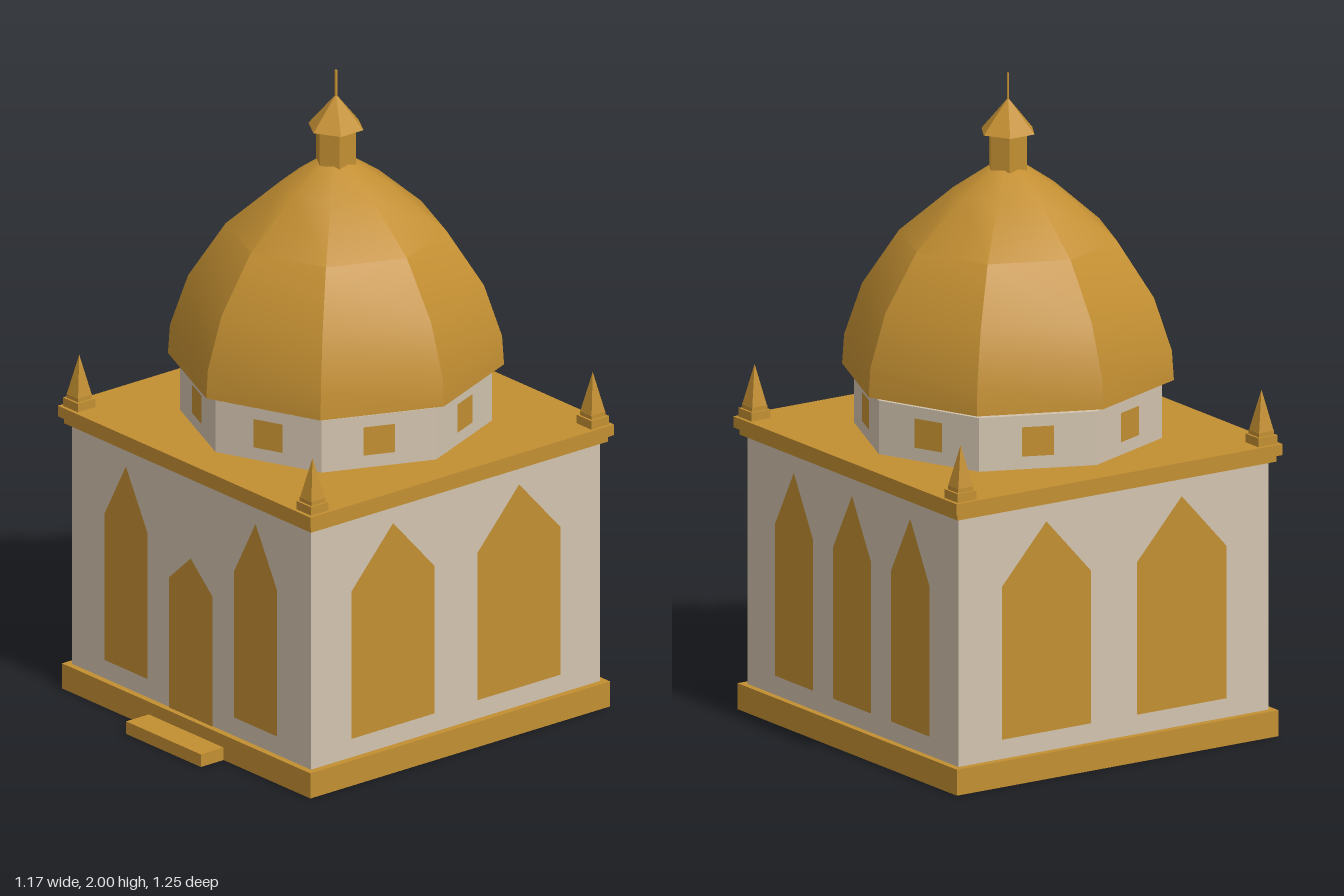
import * as THREE from 'three';
import { toCreasedNormals } from 'three/addons/utils/BufferGeometryUtils.js';

export function createModel() {
  const gold = new THREE.MeshStandardMaterial({ color: 0xc38f32 });
  gold.name = 'gold';
  const stone = new THREE.MeshStandardMaterial({ color: 0xd2c3ae });
  stone.name = 'pale stone';

  const model = new THREE.Group();
  model.name = 'domedPavilion';
  // Everything but the step is arranged around the axis of the dome
  const building = new THREE.Group();
  building.name = 'building';
  building.position.z = -0.04;
  model.add(building);

  function add(name, geometry, material, x = 0, y = 0, z = 0, parent = building) {
    const mesh = new THREE.Mesh(geometry, material);
    mesh.name = name;
    mesh.position.set(x, y, z);
    parent.add(mesh);
    return mesh;
  }
  function box(name, w, d, y0, y1, material, x = 0, z = 0, parent = building) {
    return add(name, new THREE.BoxGeometry(w, y1 - y0, d), material, x, (y0 + y1) / 2, z, parent);
  }
  // Faceted prism, cone or pyramid with a corner toward +z
  function prism(name, rTop, rBottom, y0, y1, sides, material, x = 0, z = 0, parent = building) {
    const g = toCreasedNormals(new THREE.CylinderGeometry(rTop, rBottom, y1 - y0, sides), 0.3);
    return add(name, g, material, x, (y0 + y1) / 2, z, parent);
  }
  // Pointed opening, drawn flat
  function pointed(w, y0, ySpring, yApex) {
    const s = new THREE.Shape();
    s.moveTo(-w / 2, y0);
    s.lineTo(w / 2, y0);
    s.lineTo(w / 2, ySpring);
    s.lineTo(0, yApex);
    s.lineTo(-w / 2, ySpring);
    return new THREE.ShapeGeometry(s);
  }
  // Places a flat panel on a wall turned by an angle about the axis
  function onWall(name, geometry, angle, distance, along, y = 0) {
    const c = Math.cos(angle), s = Math.sin(angle);
    const m = add(name, geometry, gold, distance * s + along * c, y, distance * c - along * s);
    m.rotation.y = angle;
  }

  // Plinth, step, walls and cornice
  box('plinth', 1.15, 1.155, 0, 0.08, gold);
  box('step', 0.346, 0.1, 0, 0.04, gold, 0, 0.575, model);
  box('walls', 1.106, 1.114, 0.08, 0.85, stone);
  box('lowerCornice', 1.145, 1.145, 0.845, 0.866, gold);
  box('upperCornice', 1.17, 1.17, 0.866, 0.9, gold);

  // Door and pointed windows
  const door = pointed(0.2, 0.08, 0.495, 0.585);
  const narrow = pointed(0.2, 0.14, 0.605, 0.787);
  const wide = pointed(0.32, 0.14, 0.61, 0.787);
  onWall('door', door, 0, 0.56, 0);
  for (const x of [-0.3, 0.3]) onWall('frontWindow', narrow, 0, 0.56, x);
  for (const x of [-0.305, 0, 0.305]) onWall('backWindow', narrow, Math.PI, 0.56, x);
  for (const side of [-1, 1]) {
    for (const z of [-0.243, 0.243]) onWall('sideWindow', wide, side * Math.PI / 2, 0.556, z);
  }

  // Corner pinnacles
  for (const x of [-0.54, 0.54]) {
    for (const z of [-0.54, 0.54]) {
      const p = new THREE.Group();
      p.name = 'pinnacle';
      p.position.set(x, 0, z);
      building.add(p);
      box('pinnacleBase', 0.068, 0.068, 0.9, 0.927, gold, 0, 0, p);
      box('pinnacleBlock', 0.054, 0.054, 0.927, 0.94, gold, 0, 0, p);
      prism('pinnacleSpike', 0, 0.037, 0.94, 1.065, 4, gold, 0, 0, p).rotation.y = Math.PI / 4;
    }
  }

  // Octagonal drum with a small window in every face
  prism('drum', 0.464, 0.464, 0.9, 1.065, 8, stone);
  const drumWindow = new THREE.PlaneGeometry(0.097, 0.09);
  const apothem = 0.464 * Math.cos(Math.PI / 8);
  for (let i = 0; i < 8; i++) {
    onWall('drumWindow', drumWindow, (i + 0.5) * Math.PI / 4, apothem + 0.003, 0, 0.985);
  }

  // Eight-sided dome, curved upward with sharp ribs
  const profile = [[0, 1.08], [0.5, 1.08], [0.494, 1.17], [0.44, 1.33], [0.328, 1.5],
    [0.165, 1.64], [0.055, 1.715], [0, 1.72]].map(([r, y]) => new THREE.Vector2(r, y));
  add('dome', toCreasedNormals(new THREE.LatheGeometry(profile, 8), 0.56), gold);

  // Lantern, its roof and the finial
  prism('lantern', 0.063, 0.063, 1.7, 1.82, 6, gold);
  prism('lanternRoof', 0, 0.087, 1.82, 1.923, 6, gold);
  prism('finial', 0.004, 0.004, 1.9, 2, 6, gold);

  return model;
}
